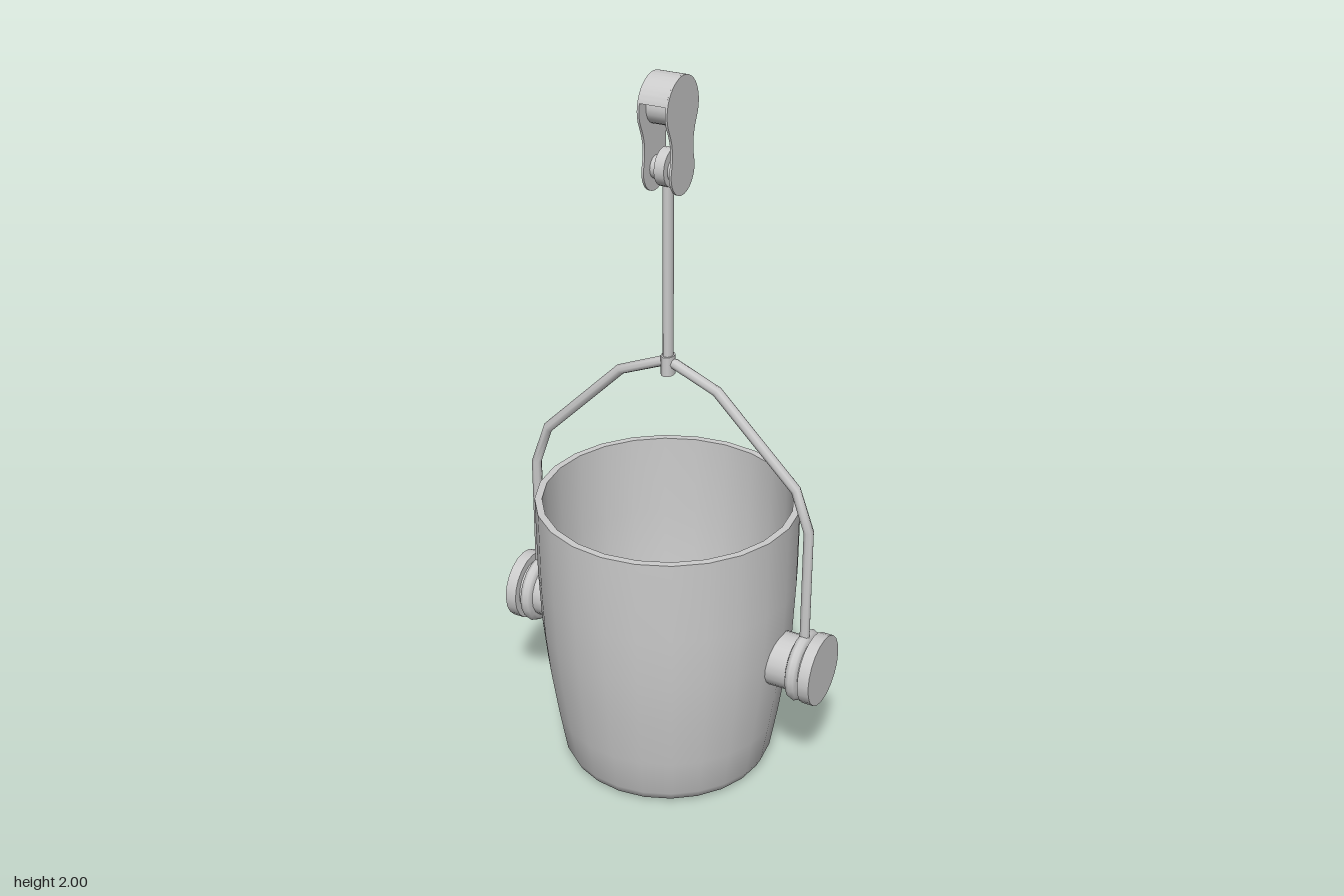
import * as THREE from 'three';
import { toCreasedNormals } from 'three/addons/utils/BufferGeometryUtils.js';

const material = new THREE.MeshStandardMaterial({ color: 0xcccccc });

function add(parent, name, geometry, x = 0, y = 0, z = 0) {
  const mesh = new THREE.Mesh(geometry, material);
  mesh.name = name;
  mesh.position.set(x, y, z);
  parent.add(mesh);
  return mesh;
}

const points = (list) => list.map(([x, y]) => new THREE.Vector2(x, y));
const creased = (geometry, angle = 0.7) => toCreasedNormals(geometry, angle);

// Cylinder lying along x
const axle = (radius, length, sides = 20) =>
  new THREE.CylinderGeometry(radius, radius, length, sides).rotateZ(Math.PI / 2);

// Side-view outline (z, y) extruded along x and centred
function sidePiece(shape, width) {
  const geometry = new THREE.ExtrudeGeometry(shape, { depth: width, bevelEnabled: false, curveSegments: 12 });
  return creased(geometry.translate(0, 0, -width / 2).rotateY(-Math.PI / 2), 0.6);
}

// Bent rod whose rings sit exactly on the given corners
class BentPath extends THREE.Curve {
  constructor(corners) {
    super();
    this.corners = corners;
  }
  getPoint(t, target = new THREE.Vector3()) {
    const f = t * (this.corners.length - 1);
    const i = Math.min(Math.floor(f), this.corners.length - 2);
    return target.lerpVectors(this.corners[i], this.corners[i + 1], f - i);
  }
  getPointAt(u, target) { return this.getPoint(u, target); }
  getTangentAt(u, target) { return this.getTangent(u, target); }
}

export function createModel() {
  const model = new THREE.Group();
  model.name = 'hangingBucket';

  // Bucket: outer wall, flat rim, inner wall and floor
  add(model, 'bucket', creased(new THREE.LatheGeometry(points([
    [0, 0], [0.27, 0], [0.288, 0.01], [0.3, 0.035], [0.32, 0.15], [0.342, 0.3], [0.355, 0.43],
    [0.362, 0.58], [0.364, 0.815], [0.344, 0.815], [0.342, 0.58], [0.324, 0.3],
    [0.281, 0.035], [0, 0.035],
  ]), 24)));

  // Pivots on both sides: hub, handle eye and end cap
  for (const side of [1, -1]) {
    const pivot = new THREE.Group();
    pivot.name = side > 0 ? 'leftPivot' : 'rightPivot';
    pivot.position.y = 0.4;
    model.add(pivot);
    add(pivot, 'hub', axle(0.078, 0.11), side * 0.395);
    add(pivot, 'cap', axle(0.1, 0.033), side * 0.464);
    const eye = new THREE.LatheGeometry(points([
      [0, -0.017], [0.085, -0.017], [0.096, -0.012], [0.101, 0], [0.096, 0.012], [0.085, 0.017], [0, 0.017],
    ]), 20).rotateZ(Math.PI / 2);
    add(pivot, 'handleEye', creased(eye, 0.9), side * 0.421);
  }

  // Handle bail, mirrored from one half
  const half = [[0.421, 0.46], [0.421, 0.82], [0.38, 0.935], [0.145, 1.168], [0.02, 1.22]];
  const corners = [...half, ...half.slice().reverse().map(([x, y]) => [-x, y])]
    .map(([x, y]) => new THREE.Vector3(x, y, 0));
  add(model, 'handle', new THREE.TubeGeometry(new BentPath(corners), corners.length - 1, 0.0145, 8));

  // Hanger rod with a knuckle below and an eye above
  add(model, 'hangerRod', new THREE.CylinderGeometry(1, 1, 0.53, 12).scale(0.0135, 1, 0.018), 0, 1.465);
  add(model, 'hangerKnuckle', new THREE.CylinderGeometry(0.02, 0.02, 0.055, 12).scale(0.9, 1, 1.2), 0, 1.215);
  add(model, 'hangerEye', axle(0.05, 0.028), 0, 1.76);

  // Pulley block: two cheek plates, top cover, roller and pin
  const block = new THREE.Group();
  block.name = 'pulleyBlock';
  model.add(block);
  const top = 1.917, bottom = 1.755, big = 0.083, small = 0.062;
  const cheek = new THREE.Shape();
  cheek.absarc(0, top, big, -0.5, Math.PI + 0.5, false);
  cheek.bezierCurveTo(-0.055, 1.84, -0.05, 1.815, -small * Math.cos(0.25), bottom + small * Math.sin(0.25));
  cheek.absarc(0, bottom, small, Math.PI - 0.25, Math.PI * 2 + 0.25, false);
  cheek.bezierCurveTo(0.05, 1.815, 0.055, 1.84, big * Math.cos(0.5), top - big * Math.sin(0.5));
  for (const side of [1, -1]) add(block, 'cheekPlate', sidePiece(cheek, 0.006), side * 0.039);

  const cover = new THREE.Shape();
  cover.absarc(0, top, big, 0.27, 2.14, false);
  cover.absarc(0, top, big - 0.008, 2.14, 0.27, true);
  add(block, 'topCover', sidePiece(cover, 0.076));
  add(block, 'roller', axle(0.048, 0.076), 0, top);
  add(block, 'pin', axle(0.03, 0.076), 0, bottom);

  return model;
}
